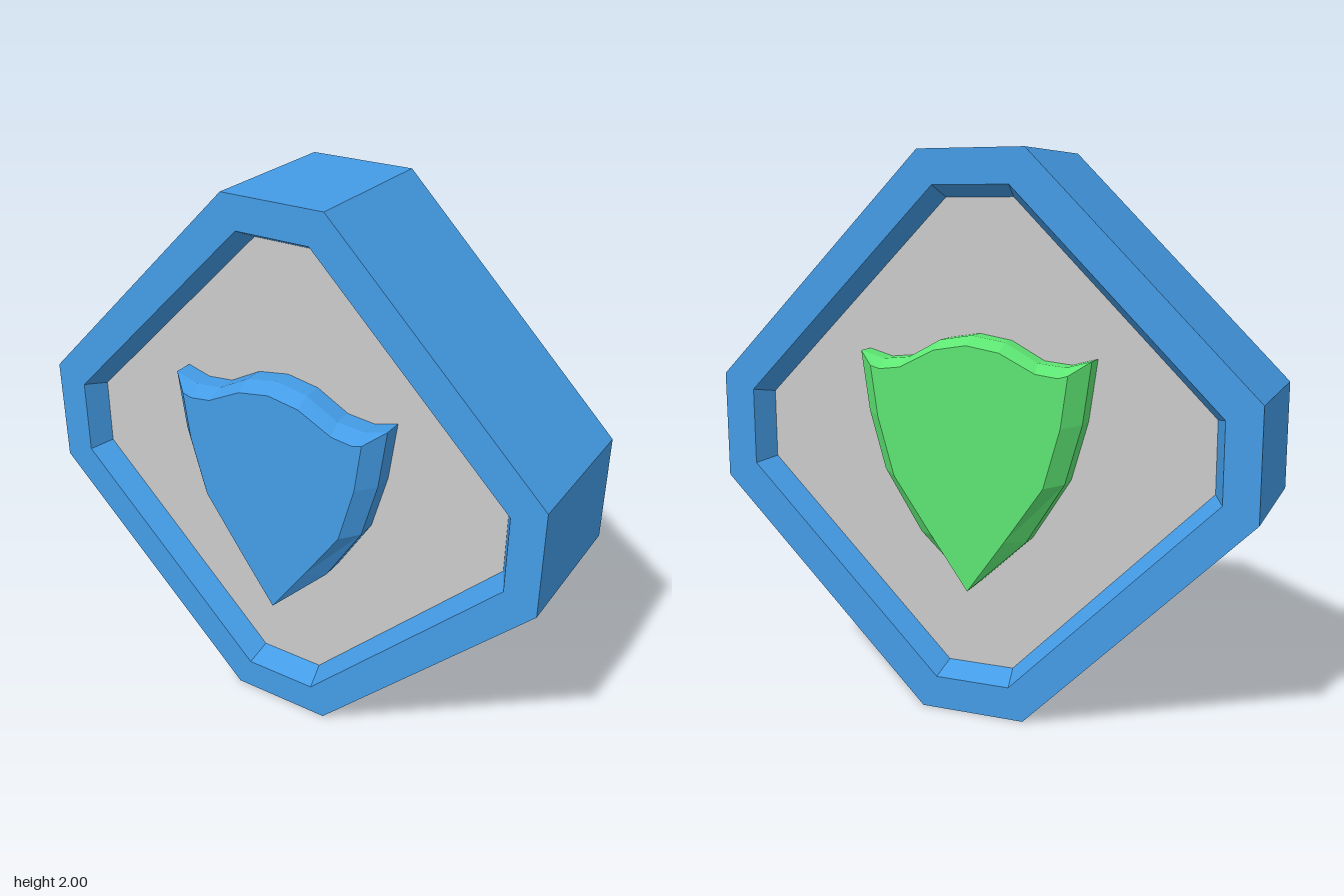
import * as THREE from 'three';

const blue = new THREE.MeshStandardMaterial({ color: 0x449ce6, flatShading: true });
const green = new THREE.MeshStandardMaterial({ color: 0x5de673, flatShading: true });
const grey = new THREE.MeshStandardMaterial({ color: 0xcccccc, flatShading: true });

// Joins a sequence of counterclockwise [outline, z] rings with flat quads
function loft(rings) {
  const pos = [];
  for (let r = 0; r < rings.length - 1; r++) {
    const [a, za] = rings[r], [b, zb] = rings[r + 1];
    for (let i = 0; i < a.length; i++) {
      const j = (i + 1) % a.length;
      const ai = [...a[i], za], aj = [...a[j], za], bi = [...b[i], zb], bj = [...b[j], zb];
      pos.push(...ai, ...bi, ...bj, ...ai, ...bj, ...aj);
    }
  }
  const g = new THREE.BufferGeometry();
  g.setAttribute('position', new THREE.Float32BufferAttribute(pos, 3));
  g.computeVertexNormals();
  return g;
}

// Flat face filling an outline at depth z
function face(outline, z) {
  const shape = new THREE.Shape(outline.map(([x, y]) => new THREE.Vector2(x, y)));
  return new THREE.ShapeGeometry(shape).translate(0, 0, z);
}

// Diamond with cut corners: r is the reach, c half the length of a cut
const diamond = (r, c) => [
  [r, -c], [r, c], [c, r], [-c, r], [-r, c], [-r, -c], [-c, -r], [c, -r],
].map(([x, y]) => [x, y + 1]);

// Mirrors a right half that runs from the bottom tip to the top centre
const mirrored = (half) => [...half, ...half.slice(1, -1).reverse().map(([x, y]) => [-x, y])];

const shieldOuter = mirrored([
  [0, 0.475], [0.2, 0.66], [0.34, 0.88], [0.4, 1.09], [0.43, 1.305],
  [0.34, 1.28], [0.24, 1.29], [0.12, 1.355], [0, 1.375],
]);
const shieldInner = mirrored([
  [0, 0.475], [0.14, 0.67], [0.28, 0.87], [0.34, 1.08], [0.365, 1.26],
  [0.33, 1.25], [0.25, 1.26], [0.12, 1.325], [0, 1.345],
]);

const RIM = 0.28, FLOOR = 0.195, TOP = 0.32;

function add(parent, name, geometry, material) {
  const mesh = new THREE.Mesh(geometry, material);
  mesh.name = name;
  parent.add(mesh);
}

export function createModel() {
  const model = new THREE.Group();
  model.name = 'shieldBadge';

  // Thick frame with sloped recess walls on both sides
  const outer = diamond(1, 0.195), rim = diamond(0.88, 0.14), floor = diamond(0.84, 0.125);
  add(model, 'frame', loft([
    [floor, FLOOR], [rim, RIM], [outer, RIM], [outer, -RIM], [rim, -RIM], [floor, -FLOOR],
  ]), blue);

  // Recessed panel and bevelled shield, front and back
  for (const [side, material, turn] of [['front', blue, 0], ['back', green, Math.PI]]) {
    const group = new THREE.Group();
    group.name = side + 'Side';
    group.rotation.y = turn;
    add(group, side + 'Panel', face(floor, FLOOR), grey);
    add(group, side + 'ShieldEdge', loft([
      [shieldInner, TOP], [shieldOuter, 0.265], [shieldOuter, FLOOR],
    ]), material);
    add(group, side + 'ShieldFace', face(shieldInner, TOP), material);
    model.add(group);
  }
  return model;
}
